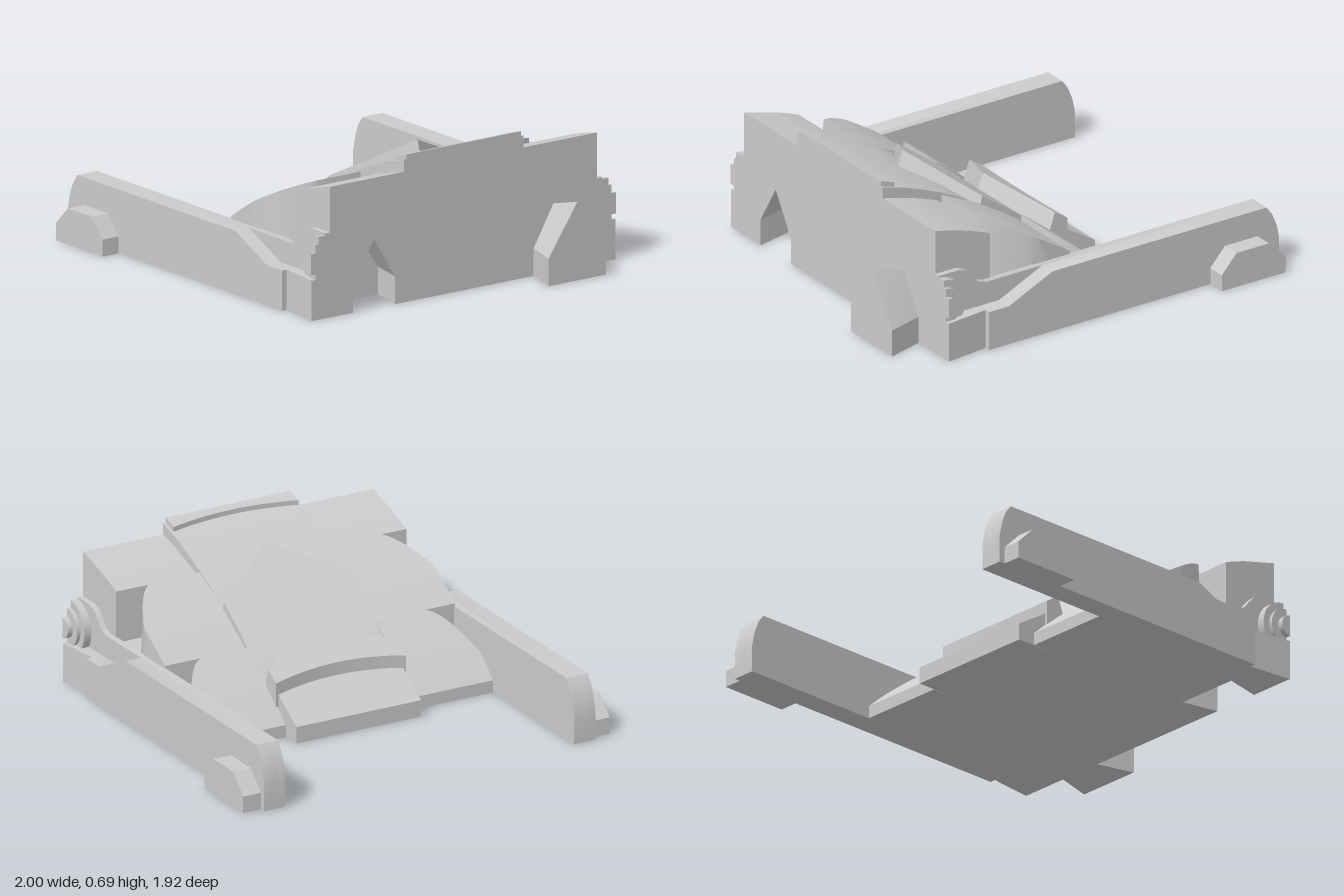
import * as THREE from 'three';
import { toCreasedNormals } from 'three/addons/utils/BufferGeometryUtils.js';

const mat = new THREE.MeshStandardMaterial({ color: 0xcccccc });

function add(group, name, geo) {
  const mesh = new THREE.Mesh(toCreasedNormals(geo, 0.5), mat);
  mesh.name = name;
  group.add(mesh);
}

// Height on a short polyline of [x, y] points, extended past its ends
function heightOn(pts, x) {
  let i = 0;
  while (i < pts.length - 2 && x > pts[i + 1][0]) i++;
  const [ax, ay] = pts[i], [bx, by] = pts[i + 1];
  return ay + (by - ay) * (x - ax) / (bx - ax);
}

// Solid scale from y = 0 up to top(x), lofted through cross-sections along z;
// the +x end leans outward by "lean" times its height
function scaleGeometry(zs, x0, x1, top, lean = 0) {
  const n = 10;
  const rings = zs.map((z) => {
    const a = x0(z), b = x1(z), ring = [];
    for (let i = 0; i <= n; i++) {
      const x = a + (b - a) * i / n;
      ring.push([x, top(x), z]);
    }
    ring.push([b + lean * top(b), 0, z], [a, 0, z]);
    return ring;
  });
  const pos = [], m = n + 3;
  const tri = (a, b, c) => pos.push(...a, ...b, ...c);
  for (let j = 0; j < rings.length - 1; j++) {
    for (let i = 0; i < m; i++) {
      const k = (i + 1) % m;
      const a = rings[j][i], b = rings[j][k], c = rings[j + 1][k], d = rings[j + 1][i];
      tri(a, d, c);
      tri(a, c, b);
    }
  }
  const first = rings[0], last = rings[rings.length - 1];
  for (let i = 0; i < m - 2; i++) {
    tri(first[m - 1], first[i], first[i + 1]);
    tri(last[m - 1], last[i + 1], last[i]);
  }
  const geo = new THREE.BufferGeometry();
  geo.setAttribute('position', new THREE.Float32BufferAttribute(pos, 3));
  return geo;
}

const toShape = (pts) => new THREE.Shape(pts.map(([x, y]) => new THREE.Vector2(x, y)));

// x-y profile extruded between |z| = a and |z| = b on the given side
function slab(shape, side, a, b) {
  const geo = new THREE.ExtrudeGeometry(shape, { depth: b - a, bevelEnabled: false, curveSegments: 16 });
  return geo.translate(0, 0, side > 0 ? a : -b);
}

// z-y outline extruded along x from xa to xb
function alongX(pts, xa, xb) {
  const shape = toShape(pts.map(([z, y]) => [-z, y]));
  const geo = new THREE.ExtrudeGeometry(shape, { depth: xb - xa, bevelEnabled: false });
  return geo.rotateY(Math.PI / 2).translate(xa, 0, 0);
}

function moveVertices(geo, rule) {
  const p = geo.attributes.position, v = new THREE.Vector3();
  for (let i = 0; i < p.count; i++) {
    rule(v.fromBufferAttribute(p, i));
    p.setXYZ(i, v.x, v.y, v.z);
  }
  return geo;
}

function range(a, b, n) {
  return Array.from({ length: n + 1 }, (_, i) => a + (b - a) * i / n);
}

export function createModel() {
  const model = new THREE.Group();
  const at = (x) => () => x;
  const line = (...pts) => (x) => heightOn(pts, x);
  const mid = range(-0.34, 0.34, 16);

  // Centre column: overlapping scales ending in chevrons
  const chevron = (edge, tip) => (z) => tip + (edge - tip) * Math.abs(z) / 0.34;
  const bow = (edge, tip) => (z) => tip + (edge - tip) * (z / 0.34) ** 2;
  add(model, 'frontTongue', scaleGeometry(mid.map((z) => z * 0.96), at(-0.36), at(-0.12),
    line([-0.36, 0.08], [-0.12, 0.23])));
  add(model, 'frontCentreScale', scaleGeometry(mid, bow(-0.2, -0.165), chevron(-0.13, 0.03),
    line([-0.2, 0.24], [0.03, 0.395]), 0.35));
  add(model, 'middleCentreScale', scaleGeometry(mid, at(-0.16), chevron(0.27, 0.475),
    line([-0.16, 0.14], [0.04, 0.31], [0.26, 0.47], [0.475, 0.632]), 0.3));
  add(model, 'rearCentreScale', scaleGeometry(mid, at(0.2), at(0.82),
    line([0.2, 0.36], [0.27, 0.42], [0.4, 0.51], [0.54, 0.575], [0.68, 0.63], [0.82, 0.67])));
  add(model, 'rearCentreLip', scaleGeometry(mid.map((z) => z * 0.96), bow(0.745, 0.78), at(0.82),
    line([0.74, 0.67], [0.82, 0.693])));

  // Side columns: scales with swept outer corners over a low floor
  const sideTop = (lift) => (x) => 0.225 + lift + 0.745 * x - 0.33 * x * x;
  const swept = (end) => (z) => end - 0.23 * Math.max(0, (Math.abs(z) - 0.58) / 0.18) ** 1.8;
  const floor = (x) => Math.max(0.04, sideTop(-0.25)(x));
  for (const s of [1, -1]) {
    const group = new THREE.Group();
    group.name = s > 0 ? 'frontSide' : 'backSide';
    model.add(group);
    let zs = [0.33, 0.46, ...range(0.58, 0.76, 12)];
    if (s < 0) zs = zs.map((z) => -z).reverse();
    add(group, 'pocketFloor', scaleGeometry(zs, at(-0.27), at(0.6), floor));
    add(group, 'frontSideScale', scaleGeometry(zs, at(-0.27), swept(0.055), sideTop(0.06), 0.09));
    add(group, 'middleSideScale', scaleGeometry(zs, at(0.08), swept(0.495), sideTop(0.03), 0.06));
    add(group, 'rearSideScale', scaleGeometry(zs, at(0.52), at(s > 0 ? 0.64 : 0.82), sideTop(0)));

    // Arm: thin inner panel with a raised rear shoulder, thicker outer rail
    const nose = [[-1, 0], [-1, 0.13], [-0.985, 0.2], [-0.96, 0.26], [-0.93, 0.3]];
    add(group, 'armInnerPanel', slab(toShape([...nose, [0.56, 0.3], [0.605, 0.315], [0.64, 0.355],
      [0.67, 0.385], [0.71, 0.4], [0.82, 0.4], [0.82, 0]]), s, 0.755, 0.788));
    add(group, 'armOuterRail', slab(toShape([...nose, [0.25, 0.3], [0.49, 0.19], [0.6, 0.19], [0.6, 0]]),
      s, 0.788, 0.868));
    add(group, 'armFoot', slab(toShape([[-0.97, 0], [-0.97, 0.08], [-0.88, 0.17], [-0.7, 0.17],
      [-0.62, 0.08], [-0.62, 0]]), s, 0.868, 0.96));

    // Rear end block with a chamfered leading corner
    const block = new THREE.BoxGeometry(0.22, 0.19, 0.08).translate(0.71, 0.095, s * 0.825);
    add(group, 'rearEndBlock', moveVertices(block, (v) => {
      if (v.x < 0.65 && Math.abs(v.z) > 0.83) v.z = s * 0.84;
    }));

    // Hinge boss, stepped half-discs
    for (const [name, r, depth] of [['hingeBoss', 0.125, 0.825], ['hingeCollar', 0.09, 0.842], ['hingePin', 0.05, 0.868]]) {
      const half = new THREE.Shape();
      half.absarc(0.82, 0.265, r, Math.PI / 2, Math.PI * 1.5, false);
      half.closePath();
      add(group, name, slab(half, s, 0.78, depth));
    }
  }

  // Socket wall: pointed dovetail opening that widens inwards
  const wall = alongX([[0.33, 0], [0.39, 0], [0.39, 0.13], [0.51, 0.325], [0.63, 0.13], [0.63, 0],
    [0.76, 0], [0.76, 0.614], [0.33, 0.614]], 0.64, 0.82);
  add(model, 'socketWall', moveVertices(wall, (v) => {
    if (v.x > 0.7) return;
    if (v.y > 0.5) v.y = sideTop(0)(0.64);
    else if (Math.abs(v.z - 0.51) < 0.15) {
      v.z = 0.51 + (v.z - 0.51) * 1.33;
      if (v.y > 0.3) v.y = 0.37;
    }
  }));

  // Matching pointed tab that widens outwards
  const tab = alongX([[-0.62, 0], [-0.62, 0.13], [-0.51, 0.32], [-0.4, 0.13], [-0.4, 0]], 0.81, 1);
  add(model, 'dovetailTab', moveVertices(tab, (v) => {
    if (v.x < 0.9) return;
    v.z = -0.51 + (v.z + 0.51) * 1.48;
    if (v.y > 0.3) v.y = 0.37;
  }));

  return model;
}
